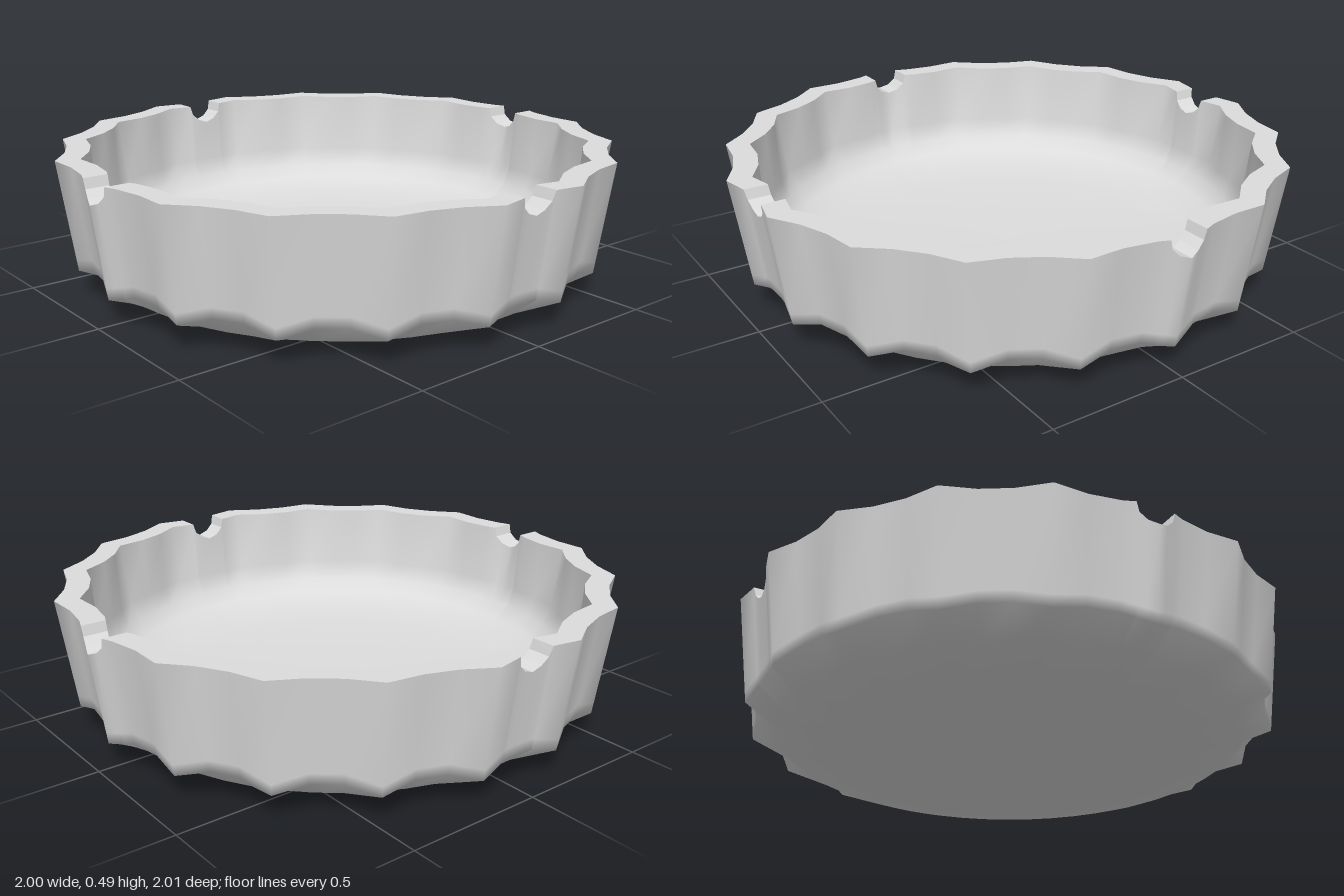
import * as THREE from 'three';

const TOP = 0.49;
const STEP = Math.PI / 9; // 18 flutes round the dish
const THIRD = STEP / 3;
// Notch cross-section: sideways offset and height
const NOTCH = [[-0.072, TOP], [-0.063, 0.455], [-0.036, 0.43], [0, 0.418], [0.036, 0.43], [0.063, 0.455], [0.072, TOP]];
const lerp = THREE.MathUtils.lerp;

// 1 on a flute crest, 0 along the flat of the hollow between crests
function ridge(theta) {
  const u = (((theta / STEP) % 1) + 1) % 1;
  return Math.max(0, 1 - 3 * Math.min(u, 1 - u));
}

// Radius of the fluted polygon: straight sides between crest and hollow corners
function fluted(theta, hollow, crest) {
  const i = Math.floor(theta / THIRD + 1e-6), f = theta - i * THIRD;
  const corner = (k) => (((k % 3) + 3) % 3 === 0 ? crest : hollow);
  const r0 = corner(i), r1 = corner(i + 1);
  return (r0 * r1 * Math.sin(THIRD)) / (r0 * Math.sin(f) + r1 * Math.sin(THIRD - f));
}

// Lower edge of the outer wall, higher in the hollows
const lowEdge = (theta) => 0.12 - 0.03 * ridge(theta);

// Outer wall at a height, leaning outwards
function outerPoint(theta, y) {
  const low = lowEdge(theta), t = (y - low) / (TOP - low);
  return [lerp(fluted(theta, 0.925, 0.957), fluted(theta, 0.976, 1.013), t), y];
}
// Inner wall at a height
function innerPoint(theta, y) {
  const t = (y - 0.26) / (TOP - 0.26);
  return [lerp(fluted(theta, 0.88, 0.895), fluted(theta, 0.891, 0.927), t), y];
}

// Columns round the rim: flute corners plus the four notches
function makeColumns() {
  const columns = [];
  for (let i = 0; i < 54; i++) {
    const a = i * THIRD;
    const q = Math.round(a / (Math.PI / 2)) * (Math.PI / 2);
    if (Math.abs(a - q) > 0.085) columns.push({ out: a, inn: a, y: TOP });
  }
  for (let k = 0; k < 4; k++) {
    const a = (k * Math.PI) / 2;
    const rOut = k % 2 ? 0.97 : 0.995, rIn = k % 2 ? 0.89 : 0.91;
    for (const [t, y] of NOTCH) {
      columns.push({ out: a + Math.asin(t / rOut), inn: a + Math.asin(t / rIn), y });
    }
  }
  return columns.sort((p, q) => p.out - q.out);
}

// Joins the rings of [angle, radius, height] given for each column
function skin(columns, profile) {
  const rows = columns.map(profile), n = rows[0].length, pos = [], index = [];
  for (const row of rows) {
    for (const [a, r, y] of row) pos.push(r * Math.sin(a), y, r * Math.cos(a));
  }
  for (let j = 0; j < rows.length; j++) {
    const k = (j + 1) % rows.length;
    for (let i = 0; i < n - 1; i++) {
      const a = j * n + i, b = k * n + i;
      index.push(a, b, b + 1, a, b + 1, a + 1);
    }
  }
  const g = new THREE.BufferGeometry();
  g.setAttribute('position', new THREE.Float32BufferAttribute(pos, 3));
  g.setIndex(index);
  g.computeVertexNormals();
  return g;
}

export function createModel() {
  const group = new THREE.Group();
  group.name = 'flutedDish';
  const grey = new THREE.MeshStandardMaterial({ color: 0xdcdcdc });
  grey.name = 'lightGrey';
  const columns = makeColumns();

  const add = (name, geometry) => {
    const mesh = new THREE.Mesh(geometry, grey);
    mesh.name = name;
    group.add(mesh);
  };

  // Underside and fluted outer wall
  add('outerShell', skin(columns, ({ out: a, y }) => {
    const low = lowEdge(a);
    return [[0, 0], [0.64, 0], [0.84, 0.045], outerPoint(a, low), outerPoint(a, low + 0.04), outerPoint(a, y)]
      .map(([r, h]) => [a, r, h]);
  }));

  // Flat rim with the notches cut across it
  const rim = skin(columns, ({ out, inn, y }) => [[out, ...outerPoint(out, y)], [inn, ...innerPoint(inn, y)]]).toNonIndexed();
  rim.computeVertexNormals();
  add('notchedRim', rim);

  // Inner wall curving into a dished floor
  add('innerBowl', skin(columns, ({ inn: a, y }) =>
    [innerPoint(a, y), innerPoint(a, 0.26), [0.855, 0.19], [0.8, 0.145], [0.7, 0.115], [0.55, 0.097], [0.3, 0.085], [0, 0.08]]
      .map(([r, h]) => [a, r, h])));

  return group;
}
